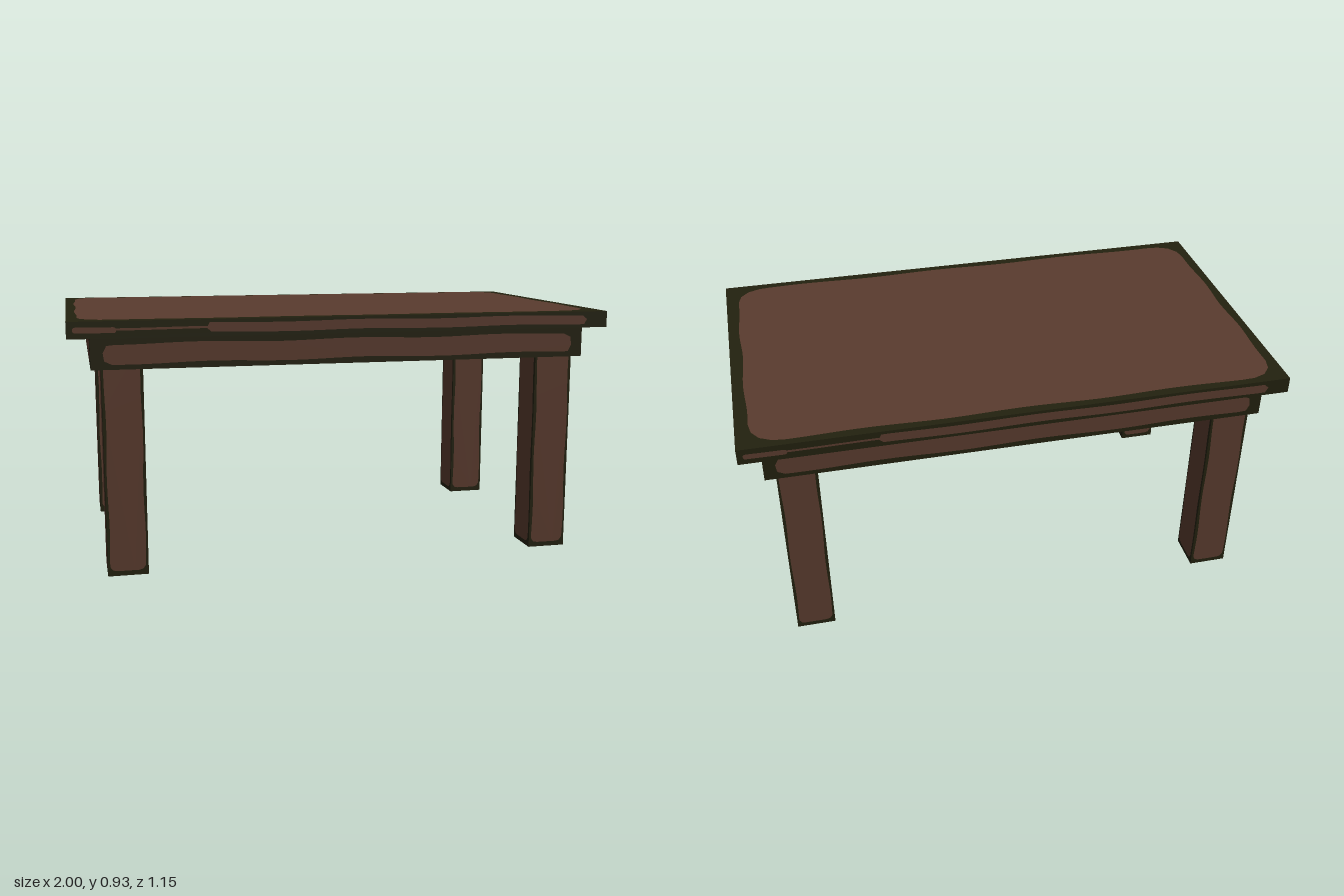
import * as THREE from 'three';

const wood = new THREE.MeshStandardMaterial({ color: 0x5a3b2e });
wood.name = 'brown wood';
const edge = new THREE.MeshStandardMaterial({ color: 0x23210f });
edge.name = 'dark worn edge';

// Rotation about x and y that turns a flat patch (+z) towards each side of a box
const SIDES = {
  front: [0, 0], back: [0, Math.PI], right: [0, Math.PI / 2],
  left: [0, -Math.PI / 2], top: [-Math.PI / 2, 0], bottom: [Math.PI / 2, 0],
};

// Rounded patch with a slightly wavering outline
function patchGeometry(x0, x1, y0, y1, radius, wobble) {
  const r = Math.min(radius, (x1 - x0) / 2.1, (y1 - y0) / 2.1);
  const s = new THREE.Shape();
  s.moveTo(x0 + r, y0);
  s.lineTo(x1 - r, y0).quadraticCurveTo(x1, y0, x1, y0 + r);
  s.lineTo(x1, y1 - r).quadraticCurveTo(x1, y1, x1 - r, y1);
  s.lineTo(x0 + r, y1).quadraticCurveTo(x0, y1, x0, y1 - r);
  s.lineTo(x0, y0 + r).quadraticCurveTo(x0, y0, x0 + r, y0);
  const points = s.getSpacedPoints(120).slice(0, -1).map((p) => new THREE.Vector2(
    p.x + wobble * Math.sin(p.y * 17 + p.x * 5),
    p.y + wobble * Math.sin(p.x * 11 + p.y * 7 + 1)));
  return new THREE.ShapeGeometry(new THREE.Shape(points));
}

// Dark block with brown patches; each patch is [side, left, right, bottom, top insets, radius, wobble]
function board(name, [w, h, d], [x, y, z], patches) {
  const group = new THREE.Group();
  group.name = name;
  group.position.set(x, y, z);
  const core = new THREE.Mesh(new THREE.BoxGeometry(w, h, d), edge);
  core.name = name + 'Core';
  group.add(core);
  for (const [side, l, r, b, t, radius = 0.015, wobble = 0.002] of patches) {
    const flat = side === 'top' || side === 'bottom';
    const across = side === 'left' || side === 'right';
    const pw = (across ? d : w) / 2;
    const ph = (flat ? d : h) / 2;
    const depth = (flat ? h : across ? w : d) / 2;
    const geometry = patchGeometry(-pw + l, pw - r, -ph + b, ph - t, radius, wobble);
    geometry.translate(0, 0, depth + 0.0015);
    const patch = new THREE.Mesh(geometry, wood);
    patch.name = name + 'Patch';
    patch.rotation.set(SIDES[side][0], SIDES[side][1], 0);
    group.add(patch);
  }
  return group;
}

export function createModel() {
  const table = new THREE.Group();
  table.name = 'table';

  // Table top: worn border above, broken strips along the edges, plain wood beneath
  table.add(board('tableTop', [1.997, 0.06, 1.147], [0, 0.894, 0], [
    ['top', 0.035, 0.045, 0.035, 0.03, 0.13, 0.004],
    ['bottom', 0.12, 0.12, 0.085, 0.085, 0.001, 0],
    ...['front', 'back'].flatMap((side) => [
      [side, 0.02, 1.83, 0.02, 0.02, 0.01, 0.001],
      [side, 0.16, 1.4, 0.028, 0.024, 0.003, 0.001],
      [side, 0.48, 0.08, 0.014, 0.012, 0.02, 0.002],
    ]),
    ['right', 0.008, 0.02, 0.009, 0.01, 0.015, 0.002],
    ['left', 0.008, 0.02, 0.009, 0.01, 0.015, 0.002],
  ]));

  // Apron: long rails front and back, short rails fitted between them
  const railY = 0.8075, railH = 0.115, thick = 0.038;
  for (const s of [1, -1]) {
    const outer = s > 0 ? 'front' : 'back', inner = s > 0 ? 'back' : 'front';
    table.add(board(outer + 'Rail', [1.84, railH, thick], [0, railY, s * (0.53 - thick / 2)], [
      [outer, 0.04, 0.04, 0.02, 0.025, 0.03, 0.003],
      [inner, 0.06, 0.06, 0.015, 0.01],
    ]));
    const out = s > 0 ? 'right' : 'left', into = s > 0 ? 'left' : 'right';
    const length = 1.06 - 2 * thick;
    table.add(board(out === 'left' ? 'rightRail' : 'leftRail',
      [thick, railH, length], [s * (0.92 - thick / 2), railY, 0], [
        [out, 0.002, 0.006, 0.015, 0.02, 0.03, 0.003],
        [into, 0.02, 0.02, 0.015, 0.01],
      ]));
  }

  // Four square legs running up inside the apron
  const legW = 0.145, legH = 0.86;
  for (const x of [-0.8125, 0.8075]) {
    for (const z of [0.455, -0.4425]) {
      const name = (z > 0 ? 'front' : 'back') + (x > 0 ? 'Left' : 'Right') + 'Leg';
      table.add(board(name, [legW, legH, legW], [x, legH / 2 + 0.0015, z], [
        ...['front', 'back', 'left', 'right'].map((side) =>
          [side, 0.009, 0.009, 0.02, 0.01, 0.025, 0.002]),
        ['bottom', 0.006, 0.006, 0.006, 0.006, 0.01, 0.001],
      ]));
    }
  }
  return table;
}
